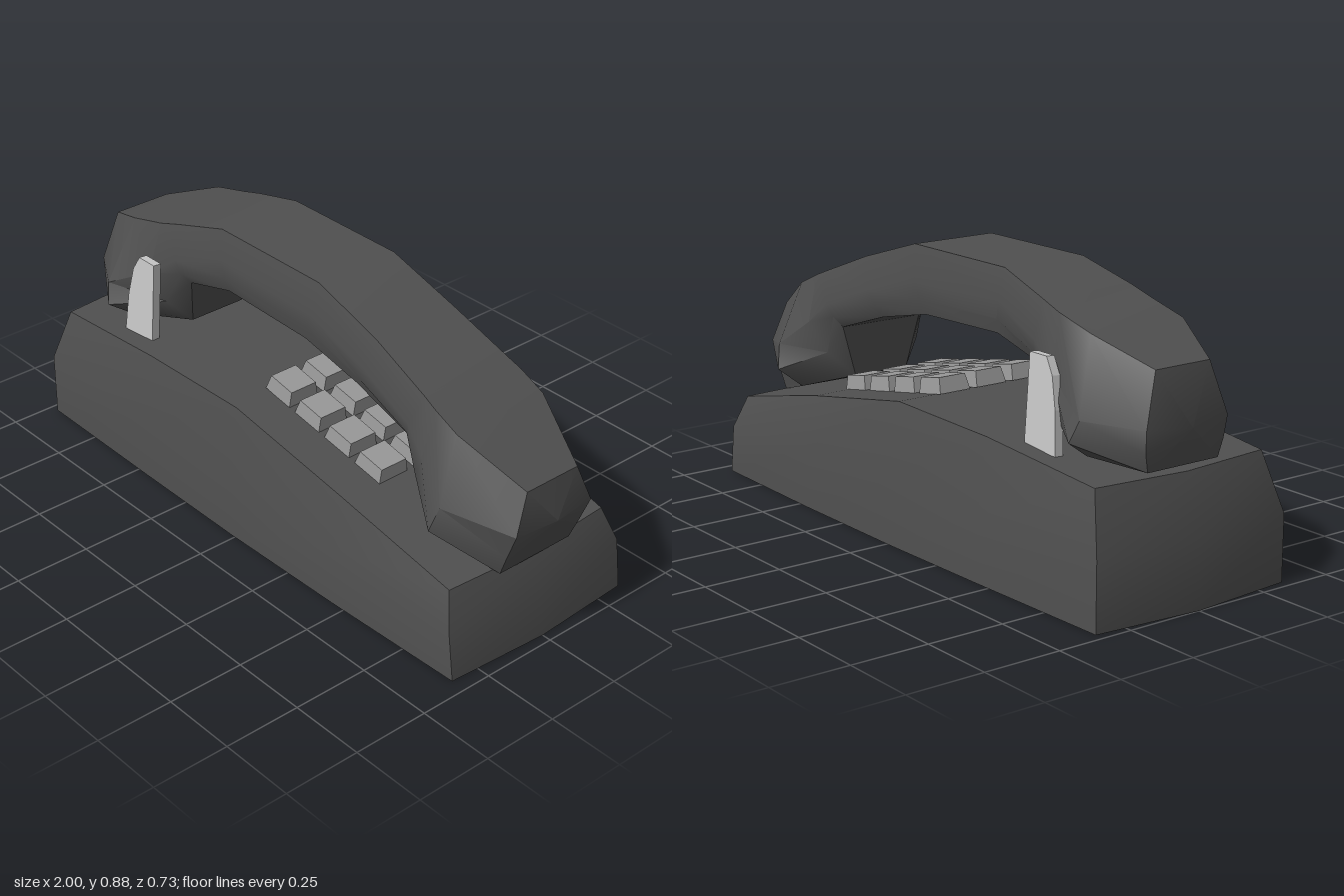
import * as THREE from 'three';
import { toCreasedNormals } from 'three/addons/utils/BufferGeometryUtils.js';

const body = new THREE.MeshStandardMaterial({ name: 'dark grey body', color: 0x505050 });
const keyGrey = new THREE.MeshStandardMaterial({ name: 'mid grey keys', color: 0x999999 });
const pale = new THREE.MeshStandardMaterial({ name: 'pale grey cradle', color: 0xc8c8c8 });

// Triangles joining successive closed rings of [x, y, z] points
function loft(rings) {
  const tris = [], n = rings[0].length;
  for (let j = 0; j < rings.length - 1; j++) {
    for (let i = 0; i < n; i++) {
      const k = (i + 1) % n, a = rings[j], b = rings[j + 1];
      tris.push(a[i], a[k], b[k], a[i], b[k], b[i]);
    }
  }
  return tris;
}

function toMesh(name, tris, crease) {
  const g = new THREE.BufferGeometry();
  g.setAttribute('position', new THREE.Float32BufferAttribute(tris.flat(), 3));
  const mesh = new THREE.Mesh(toCreasedNormals(g, crease), body);
  mesh.name = name;
  return mesh;
}

// Housing: three outlines stacked upward, closed by strips across the top and bottom
function createBase() {
  const outline = (xs, ys, ws, left, right) => {
    const front = xs.map((x, i) => [x, ys[i], ws[i]]);
    const back = xs.map((x, i) => [x, ys[i], -ws[i]]).reverse();
    return [[left, ys[0], 0], ...front, [right, ys[4], 0], ...back];
  };
  const wide = [0.35, 0.36, 0.365, 0.36, 0.345];
  const rings = [
    outline([-0.97, -0.45, -0.02, 0.45, 0.95], [0, 0, 0, 0, 0], wide, -1, 0.97),
    outline([-0.97, -0.45, -0.02, 0.45, 0.93], [0.21, 0.21, 0.21, 0.2, 0.16], wide, -1, 0.95),
    outline([-0.91, -0.45, -0.02, 0.45, 0.89], [0.393, 0.435, 0.448, 0.365, 0.268],
      [0.31, 0.325, 0.33, 0.325, 0.31], -0.94, 0.91),
  ];
  const tris = loft(rings);
  const cap = (r) => {
    const t = [r[0], r[1], r[11], r[5], r[6], r[7]];
    for (let k = 1; k < 5; k++) t.push(r[k], r[k + 1], r[11 - k], r[k], r[11 - k], r[12 - k]);
    return t;
  };
  tris.push(...cap(rings[2]), ...cap(rings[0]).reverse());
  return toMesh('base', tris, 0.5);
}

// Handset: sections from left to right, each with top, middle and bottom [x, y, half width]
function createHandset() {
  const sections = [
    [[-0.91, 0.69, 0.10], [-0.935, 0.53, 0.15], [-0.92, 0.405, 0.13]],
    [[-0.72, 0.765, 0.17], [-0.77, 0.54, 0.25], [-0.73, 0.42, 0.19]],
    [[-0.58, 0.80, 0.17], [-0.6, 0.63, 0.21], [-0.525, 0.45, 0.10]],
    [[-0.5, 0.825, 0.165], [-0.49, 0.71, 0.19], [-0.46, 0.63, 0.15]],
    [[-0.3, 0.88, 0.147], [-0.29, 0.78, 0.165], [-0.27, 0.68, 0.15]],
    [[0.15, 0.88, 0.147], [0.13, 0.77, 0.165], [0.09, 0.67, 0.15]],
    [[0.41, 0.80, 0.152], [0.37, 0.70, 0.175], [0.32, 0.62, 0.15]],
    [[0.62, 0.72, 0.165], [0.58, 0.62, 0.19], [0.55, 0.545, 0.15]],
    [[0.67, 0.70, 0.17], [0.66, 0.55, 0.21], [0.555, 0.375, 0.10]],
    [[0.76, 0.66, 0.17], [0.78, 0.46, 0.25], [0.74, 0.315, 0.19]],
    [[0.97, 0.545, 0.10], [0.985, 0.42, 0.15], [0.92, 0.26, 0.14]],
  ];
  const rings = sections.map(([t, m, b], i) => {
    // Lower side point keeps the ear and mouth pieces rounded underneath
    const ear = i === 1 || i === 9;
    const n = [0, 1].map((a) => m[a] * 0.45 + b[a] * 0.55);
    n.push(ear ? 0.27 : m[2] * 0.7 + b[2] * 0.3);
    const side = [t, m, n, b];
    return [...side, ...side.slice().reverse().map(([x, y, w]) => [x, y, -w])]
      .map((p) => p.slice());
  });
  const tris = loft(rings);
  const first = rings[0], last = rings[rings.length - 1];
  for (let i = 0; i < 8; i++) {
    const k = (i + 1) % 8;
    tris.push(first[k], first[i], [-0.957, 0.52, 0], last[i], last[k], [1, 0.42, 0]);
  }
  return toMesh('handset', tris, 0.55);
}

// Keypad: four columns by three rows of tapered keys on the sloping top
function createKeypad() {
  const keypad = new THREE.Group();
  keypad.name = 'keypad';
  const geo = new THREE.BoxGeometry(0.112, 0.05, 0.112);
  const p = geo.attributes.position;
  for (let i = 0; i < p.count; i++) {
    if (p.getY(i) > 0) p.setXYZ(i, p.getX(i) * 0.86, p.getY(i), p.getZ(i) * 0.86);
  }
  geo.computeVertexNormals();
  for (let c = 0; c < 4; c++) {
    for (let r = -1; r <= 1; r++) {
      const key = new THREE.Mesh(geo, keyGrey);
      key.name = 'key';
      key.position.set(0.015 + c * 0.135, 0.467 - c * 0.0255, r * 0.138);
      key.rotation.z = -0.19;
      keypad.add(key);
    }
  }
  return keypad;
}

// Cradle prongs: thin upright plates leaning in towards the handset
function createProng(side) {
  const shape = new THREE.Shape([
    [-0.675, 0], [-0.535, 0], [-0.535, 0.275], [-0.61, 0.275], [-0.64, 0.225], [-0.662, 0.13],
  ].map(([x, y]) => new THREE.Vector2(x, y)));
  const geo = new THREE.ExtrudeGeometry(shape, { depth: 0.028, bevelEnabled: false });
  geo.translate(0, 0, -0.014);
  const prong = new THREE.Mesh(geo, pale);
  prong.name = side > 0 ? 'frontCradleProng' : 'backCradleProng';
  prong.position.set(0, 0.415, side * 0.244);
  prong.rotation.x = -side * 0.07;
  return prong;
}

export function createModel() {
  const phone = new THREE.Group();
  phone.name = 'deskTelephone';
  phone.add(createBase(), createHandset(), createKeypad(), createProng(1), createProng(-1));
  return phone;
}
